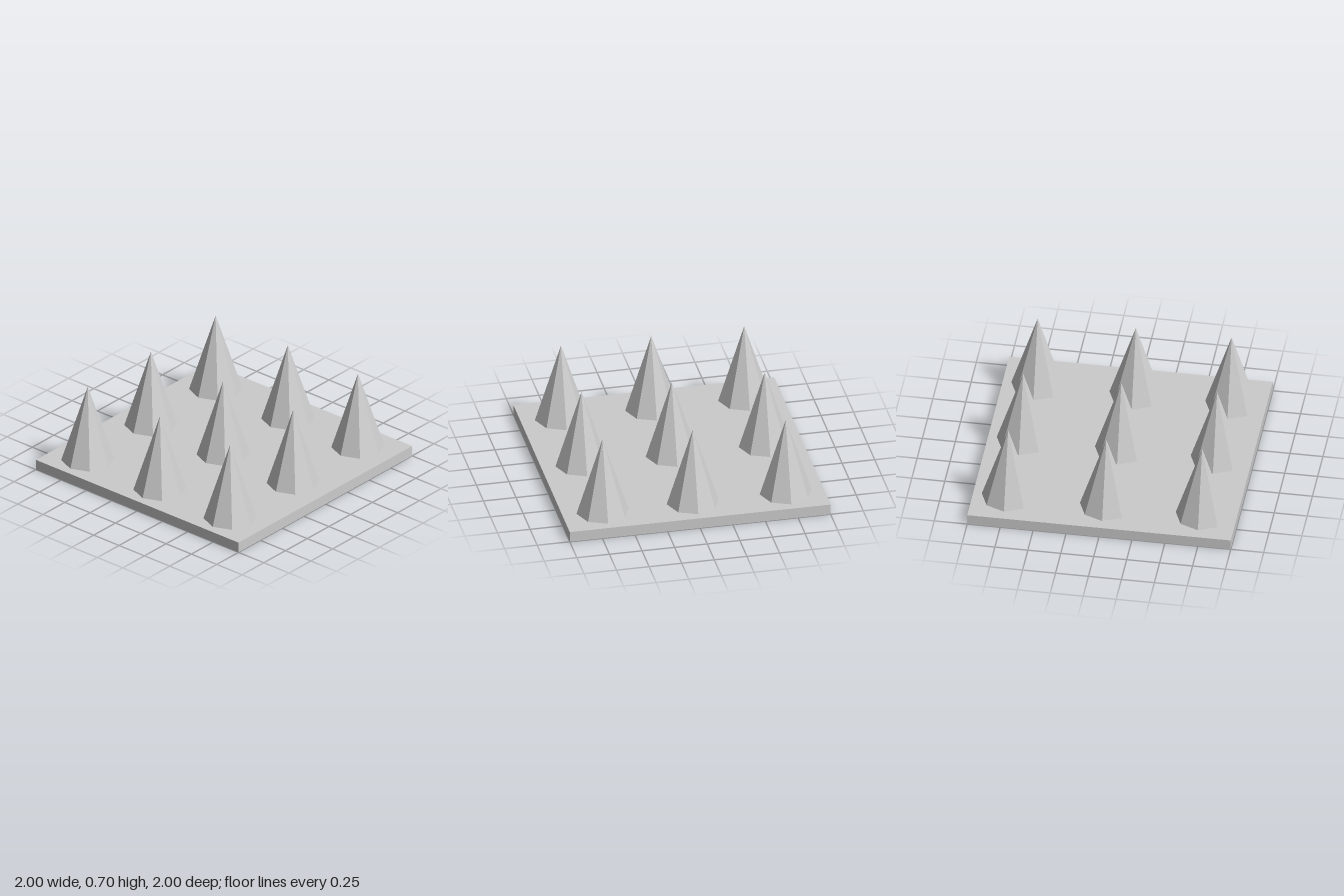
import * as THREE from 'three';

const BASE_HEIGHT = 0.083;
const SPIKE_HEIGHT = 0.617;
const SPIKE_RADIUS = 0.2;

export function createModel() {
  const group = new THREE.Group();
  group.name = 'spikeTrap';
  const material = new THREE.MeshStandardMaterial({ color: 0xcccccc, flatShading: true });

  // Square base plate
  const base = new THREE.Mesh(new THREE.BoxGeometry(2, BASE_HEIGHT, 2), material);
  base.name = 'basePlate';
  base.position.y = BASE_HEIGHT / 2;
  group.add(base);

  // Three rows of eight-sided spikes standing on the plate
  const spikeGeometry = new THREE.ConeGeometry(SPIKE_RADIUS, SPIKE_HEIGHT, 8);
  const columns = [-0.737, -0.01, 0.735];
  const rows = [-0.713, 0, 0.692];
  rows.forEach((z, r) => {
    columns.forEach((x, c) => {
      const spike = new THREE.Mesh(spikeGeometry, material);
      spike.name = `spikeRow${r + 1}Column${c + 1}`;
      spike.position.set(x, BASE_HEIGHT + SPIKE_HEIGHT / 2, z);
      group.add(spike);
    });
  });

  return group;
}
